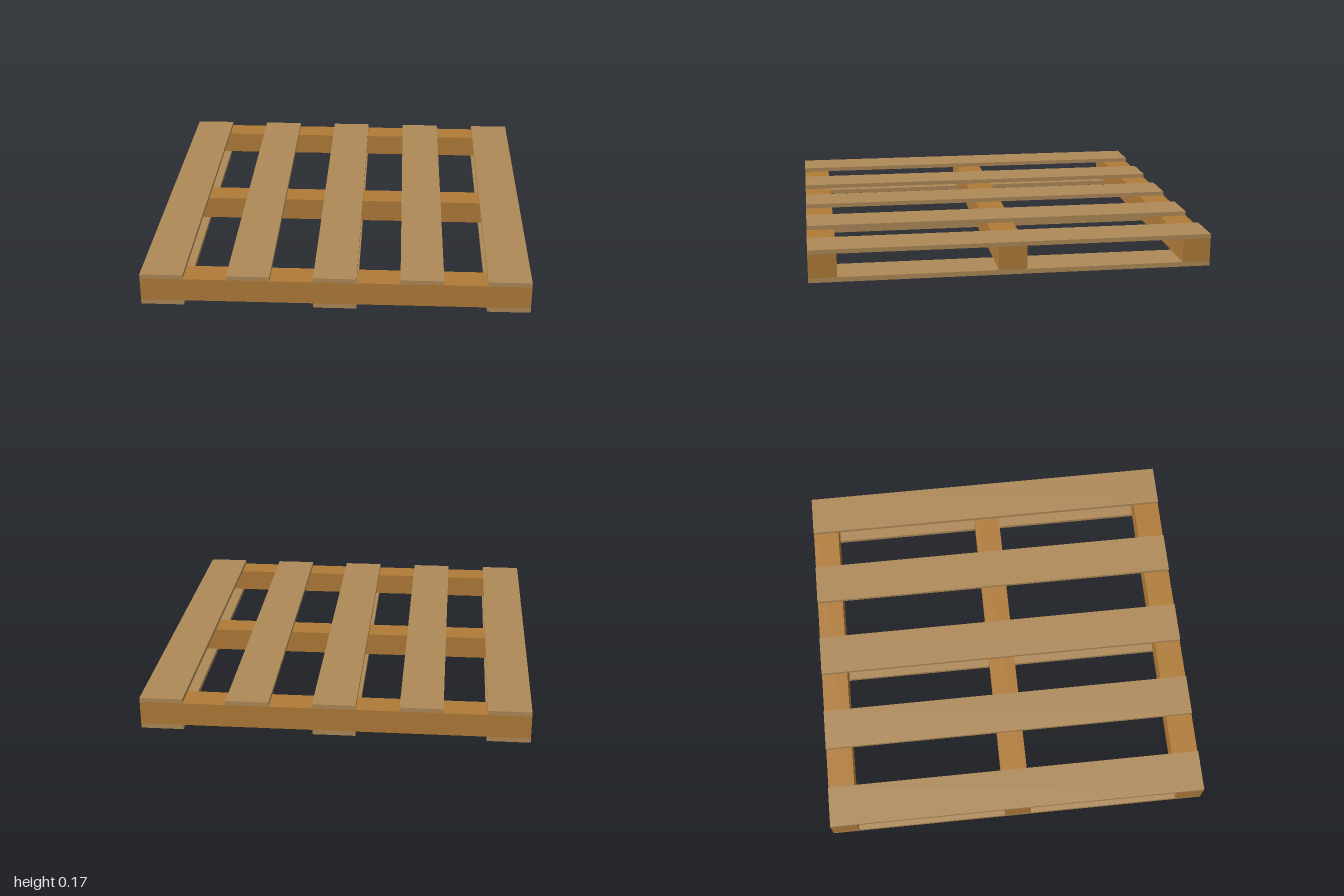
import * as THREE from 'three';

export function createModel() {
  const group = new THREE.Group();
  const boardWood = new THREE.MeshStandardMaterial({ color: 0xae8958 });
  boardWood.name = 'paleBoardWood';
  const beamWood = new THREE.MeshStandardMaterial({ color: 0xb07b38 });
  beamWood.name = 'warmBeamWood';

  // Box spanning y0..y1, centred on x and z
  function plank(name, material, width, y0, y1, depth, x, z) {
    const mesh = new THREE.Mesh(new THREE.BoxGeometry(width, y1 - y0, depth), material);
    mesh.position.set(x, (y0 + y1) / 2, z);
    mesh.name = name;
    group.add(mesh);
  }

  const boardWidth = 0.214;
  const spacing = 0.429;
  const bottomTop = 0.024, beamTop = 0.143, deckTop = 0.165;

  // Five deck boards, with bottom boards under the outer two and the middle one
  for (let i = -2; i <= 2; i++) {
    plank('deckBoard', boardWood, boardWidth, beamTop, deckTop, 2, i * spacing, 0);
    if (i % 2 === 0) plank('bottomBoard', boardWood, boardWidth, 0, bottomTop, 2, i * spacing, 0);
  }

  // Three cross beams between the two layers
  for (const z of [-0.93, 0, 0.93]) {
    plank('crossBeam', beamWood, 4 * spacing + boardWidth, bottomTop, beamTop, 0.14, 0, z);
  }

  return group;
}
